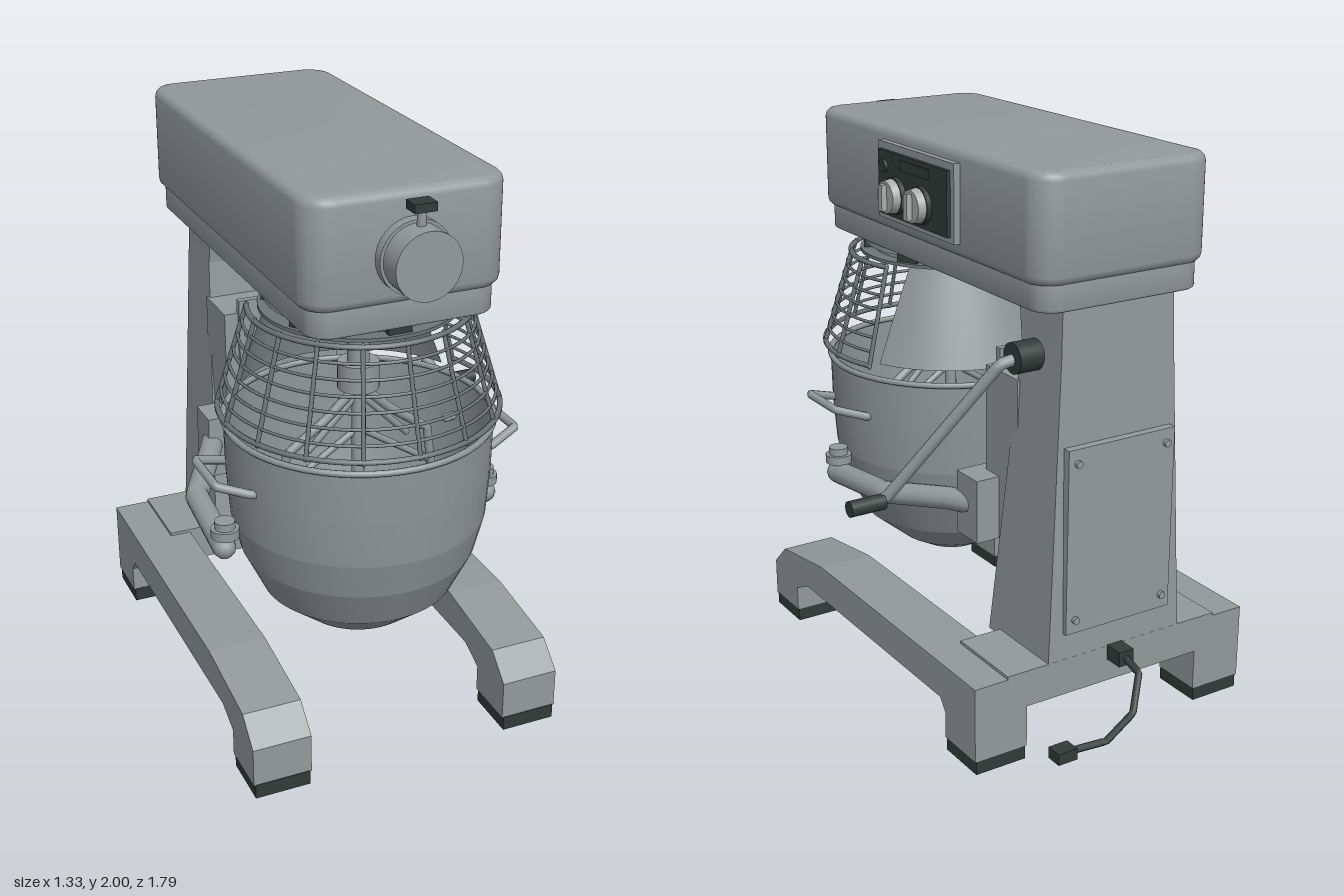
import * as THREE from 'three';
import { toCreasedNormals } from 'three/addons/utils/BufferGeometryUtils.js';

const CX = -0.105; // machine centre line
const CZ = 0.395;  // bowl axis
const V = (x, y, z) => new THREE.Vector3(x, y, z);

export function createModel() {
  const root = new THREE.Group();
  root.name = 'standMixer';
  const mat = (name, color, side = THREE.FrontSide) => {
    const m = new THREE.MeshStandardMaterial({ color, side });
    m.name = name;
    return m;
  };
  const body = mat('grey enamel', 0x939999);
  const metal = mat('bowl metal', 0x8f9595, THREE.DoubleSide);
  const wire = mat('guard wire', 0x6f7575);
  const dark = mat('dark rubber', 0x323b39);
  const light = mat('dial silver', 0xa9adab);

  const add = (name, geo, m, x = 0, y = 0, z = 0) => {
    const mesh = new THREE.Mesh(geo, m);
    mesh.name = name;
    mesh.position.set(x, y, z);
    root.add(mesh);
    return mesh;
  };
  // box given by its limits
  const box = (name, m, x0, x1, y0, y1, z0, z1) =>
    add(name, new THREE.BoxGeometry(x1 - x0, y1 - y0, z1 - z0), m, (x0 + x1) / 2, (y0 + y1) / 2, (z0 + z1) / 2);
  const cyl = (name, m, r0, r1, h, x, y, z, axis = 'y', seg = 32) => {
    const g = new THREE.CylinderGeometry(r1, r0, h, seg);
    if (axis === 'x') g.rotateZ(-Math.PI / 2);
    if (axis === 'z') g.rotateX(Math.PI / 2);
    return add(name, g, m, x, y, z);
  };
  // round bar through points with straight runs and end caps
  const rod = (name, m, pts, r, seg = 10) => {
    const path = new THREE.CurvePath();
    for (let i = 1; i < pts.length; i++) path.add(new THREE.LineCurve3(pts[i - 1], pts[i]));
    add(name, new THREE.TubeGeometry(path, 10 * (pts.length - 1), r, seg), m);
    for (const p of [pts[0], pts[pts.length - 1]]) add(name + 'End', new THREE.SphereGeometry(r, seg, 6), m, p.x, p.y, p.z);
  };
  // rounded slab lying flat, from y0 to y1
  const slab = (name, m, w, d, r, y0, y1, bevel, x, z) => {
    const s = new THREE.Shape(), a = w / 2, b = d / 2;
    s.moveTo(a - r, -b).absarc(a - r, -b + r, r, -Math.PI / 2, 0);
    s.absarc(a - r, b - r, r, 0, Math.PI / 2);
    s.absarc(-a + r, b - r, r, Math.PI / 2, Math.PI);
    s.absarc(-a + r, -b + r, r, Math.PI, Math.PI * 1.5);
    const g = new THREE.ExtrudeGeometry(s, {
      depth: y1 - y0 - 2 * bevel, bevelSize: bevel, bevelThickness: bevel,
      bevelOffset: -bevel, bevelSegments: 3, curveSegments: 8,
    });
    g.translate(0, 0, bevel).rotateX(-Math.PI / 2);
    return add(name, toCreasedNormals(g, 0.7), m, x, y0, z);
  };

  // legs with arched underside, and foot pads
  const leg = new THREE.Shape([
    [0.83, 0.05], [0.83, 0.19], [0.74, 0.275], [0.42, 0.322], [-0.68, 0.322], [-0.68, 0.05],
    [-0.49, 0.05], [-0.49, 0.145], [-0.455, 0.19], [0.545, 0.19], [0.64, 0.145], [0.64, 0.05],
  ].map(([z, y]) => new THREE.Vector2(-z, y)));
  for (const s of [-1, 1]) {
    const x = CX + s * 0.461;
    const g = new THREE.ExtrudeGeometry(leg, { depth: 0.205, bevelEnabled: false });
    g.translate(0, 0, -0.1025).rotateY(Math.PI / 2);
    add('leg', g, body, x);
    for (const z of [0.737, -0.583]) {
      box('footPad', dark, x - 0.097, x + 0.097, 0, 0.052, z - 0.095, z + 0.095);
    }
  }
  box('baseCrossMember', body, -0.54, 0.33, 0.2, 0.333, -0.68, -0.38);

  // column tapering upwards
  const col = new THREE.BoxGeometry(1, 1, 1, 1, 2, 1);
  const rows = [[0.31, 0.275, -0.313, -0.68], [1.39, 0.225, -0.43, -0.657], [1.57, 0.22, -0.403, -0.652]];
  const cp = col.attributes.position;
  for (let i = 0; i < cp.count; i++) {
    const [y, hw, zf, zb] = rows[Math.round((cp.getY(i) + 0.5) * 2)];
    cp.setXYZ(i, CX + Math.sign(cp.getX(i)) * hw, y, cp.getZ(i) > 0 ? zf : zb);
  }
  add('column', toCreasedNormals(col.toNonIndexed(), 0.1), body);

  // rear service panel with bolts
  box('rearPanel', body, CX - 0.215, CX + 0.215, 0.43, 1.09, -0.694, -0.64);
  for (const s of [-1, 1]) for (const y of [0.48, 1.04]) cyl('panelBolt', body, 0.013, 0.013, 0.02, CX + s * 0.18, y, -0.697, 'z', 12);

  // head housing
  slab('headLowerHousing', body, 0.635, 1.445, 0.08, 1.553, 1.67, 0.008, CX, 0.037);
  slab('headHousing', body, 0.68, 1.475, 0.095, 1.64, 2, 0.03, CX, 0.0375);

  // attachment hub and thumbscrew
  cyl('hubFlange', body, 0.12, 0.12, 0.05, CX, 1.795, 0.785, 'z');
  cyl('hub', body, 0.11, 0.11, 0.1, CX, 1.795, 0.846, 'z');
  cyl('thumbscrewStem', body, 0.014, 0.014, 0.08, CX, 1.92, 0.835);
  box('thumbscrewKnob', dark, CX - 0.037, CX + 0.037, 1.952, 1.98, 0.805, 0.865);

  // control panel with dials
  box('panelFrame', body, 0.22, 0.258, 1.69, 1.957, -0.235, 0.265);
  box('panelFace', dark, 0.25, 0.272, 1.71, 1.932, -0.213, 0.242);
  box('panelDisplay', dark, 0.26, 0.278, 1.882, 1.917, -0.1, 0.085);
  for (const y of [1.88, 1.77]) cyl('panelButton', dark, 0.022, 0.022, 0.02, 0.275, y, 0.195, 'x', 20);
  for (const z of [0.115, -0.055]) {
    cyl('dialSkirt', dark, 0.064, 0.064, 0.02, 0.28, 1.79, z, 'x');
    cyl('dial', light, 0.06, 0.055, 0.03, 0.303, 1.79, z, 'x');
    box('dialGrip', light, 0.31, 0.338, 1.745, 1.835, z - 0.012, z + 0.012);
  }

  // planetary drive and agitator shaft
  cyl('guardMountRing', body, 0.31, 0.31, 0.018, CX, 1.543, CZ, 'y', 48);
  cyl('guardRail', wire, 0.33, 0.33, 0.012, CX, 1.507, CZ, 'y', 48);
  cyl('planetaryNeck', body, 0.28, 0.28, 0.04, CX, 1.53, CZ, 'y', 48);
  cyl('planetaryHead', body, 0.15, 0.18, 0.04, CX, 1.485, CZ);
  for (let i = 0; i < 6; i++) {
    const clamp = box('guardClamp', dark, -0.04, 0.04, -0.016, 0.016, -0.015, 0.015);
    const a = i * Math.PI / 3;
    clamp.position.set(CX + Math.sin(a) * 0.3, 1.527, CZ + Math.cos(a) * 0.3);
    clamp.rotation.y = a;
  }
  cyl('driveShaft', body, 0.037, 0.037, 0.25, CX, 1.38, CZ);
  cyl('shaftCollar', body, 0.07, 0.07, 0.095, CX, 1.25, CZ);
  cyl('beaterStem', body, 0.022, 0.022, 0.75, CX, 0.85, CZ, 'y', 16);

  // flat beater: outline and slanted ribs
  const side = [[0.02, 1.19], [0.12, 1.1], [0.26, 1.0], [0.29, 0.75], [0.22, 0.53], [0, 0.45]];
  for (const s of [-1, 1]) {
    rod('beaterFrame', metal, side.map(([x, y]) => V(CX + s * x, y, CZ)), 0.016, 8);
    for (const [y, x] of [[1.08, 0.18], [0.95, 0.28], [0.78, 0.27]]) {
      rod('beaterRib', metal, [V(CX, y + 0.1, CZ), V(CX + s * x, y - 0.08, CZ)], 0.012, 8);
    }
  }

  // bowl, open at the top, with rolled rim
  const bowlPts = [[0, 0.333], [0.12, 0.333], [0.2, 0.378], [0.335, 0.49], [0.405, 0.635], [0.437, 0.765], [0.449, 0.93], [0.452, 1.11]];
  const bowl = new THREE.LatheGeometry(bowlPts.map(([r, y]) => new THREE.Vector2(r, y)), 56);
  add('bowl', toCreasedNormals(bowl.toNonIndexed(), 0.125), metal, CX, 0, CZ);
  const rim = new THREE.TorusGeometry(0.452, 0.011, 8, 56);
  add('bowlRim', rim.rotateX(Math.PI / 2), metal, CX, 1.11, CZ);

  // wire guard around the front
  const span = THREE.MathUtils.degToRad(111);
  const guardR = y => THREE.MathUtils.mapLinear(y, 1.16, 1.5, 0.47, 0.365);
  const onGuard = (a, y) => V(CX + Math.sin(a) * guardR(y), y, CZ + Math.cos(a) * guardR(y));
  for (let i = 0; i < 8; i++) {
    const y = 1.16 + i * 0.34 / 7;
    const pts = Array.from({ length: 29 }, (_, k) => onGuard(span * (k / 14 - 1), y));
    add('guardHoop', new THREE.TubeGeometry(new THREE.CatmullRomCurve3(pts), 56, i % 7 ? 0.006 : 0.01, 6), wire);
  }
  for (let i = 0; i < 11; i++) {
    const a = span * (i / 5 - 1);
    rod('guardRib', wire, [onGuard(a, 1.155), onGuard(a, 1.505)], 0.008, 6);
  }

  // solid splash shield behind the wire guard, cut off square at the front
  const shield = new THREE.PlaneGeometry(2, 1, 32, 6);
  const sp = shield.attributes.position;
  for (let i = 0; i < sp.count; i++) {
    const t = sp.getY(i) + 0.5, r = 0.42 - 0.12 * t;
    const a = Math.PI + sp.getX(i) * Math.acos(0.155 / r);
    sp.setXYZ(i, CX + Math.sin(a) * r, 1.155 + 0.35 * t, CZ + Math.cos(a) * r);
  }
  shield.computeVertexNormals();
  add('splashShield', shield, metal);

  // bowl lift: rail, slide, cover plate and yoke
  box('liftRail', body, CX - 0.2, CX + 0.2, 0.49, 1.26, -0.45, -0.3);
  box('liftSlide', body, CX - 0.24, CX + 0.24, 0.65, 1.26, -0.43, -0.235);
  box('slideCover', body, CX - 0.19, CX + 0.19, 0.91, 1.31, -0.245, -0.22);
  for (const s of [-1, 1]) for (const y of [0.96, 1.18]) cyl('coverBolt', body, 0.012, 0.012, 0.02, CX + s * 0.16, y, -0.214, 'z', 12);
  box('yokeBracket', body, CX - 0.33, CX + 0.33, 0.65, 0.88, -0.32, -0.19);
  for (const s of [-1, 1]) {
    const P = (x, y, z) => V(CX + s * x, y, z);
    rod('yokeArm', body, [P(0.3, 0.77, -0.24), P(0.345, 0.765, -0.15), P(0.475, 0.735, 0.08), P(0.49, 0.705, 0.4)], 0.041, 12);
    cyl('yokePin', body, 0.048, 0.048, 0.032, CX + s * 0.485, 0.762, 0.4, 'y', 24);
    cyl('yokePinCap', body, 0.035, 0.035, 0.03, CX + s * 0.485, 0.79, 0.4, 'y', 24);
    rod('bowlHandle', body, [P(0.4, 0.95, 0.53), P(0.44, 0.957, 0.53), P(0.545, 0.993, 0.5), P(0.545, 0.993, 0.295), P(0.44, 0.957, 0.265), P(0.4, 0.95, 0.265)], 0.015, 10);
  }

  // lift crank
  cyl('crankBoss', dark, 0.053, 0.053, 0.1, 0.16, 1.37, -0.51, 'x', 24);
  rod('crankArm', body, [V(0.17, 1.37, -0.51), V(0.25, 1.355, -0.5), V(0.52, 0.86, -0.225), V(0.56, 0.845, -0.225)], 0.02, 12);
  cyl('crankGrip', dark, 0.028, 0.028, 0.13, 0.6, 0.845, -0.225, 'x', 20);

  // power cord
  box('cordGland', dark, CX - 0.03, CX + 0.03, 0.282, 0.337, -0.75, -0.67);
  rod('powerCord', dark, [V(CX, 0.31, -0.74), V(CX, 0.285, -0.82), V(-0.04, 0.18, -0.878), V(0.06, 0.1, -0.868), V(0.18, 0.075, -0.82)], 0.013, 8);
  box('cordPlug', dark, 0.165, 0.24, 0.055, 0.097, -0.85, -0.79);

  return root;
}
